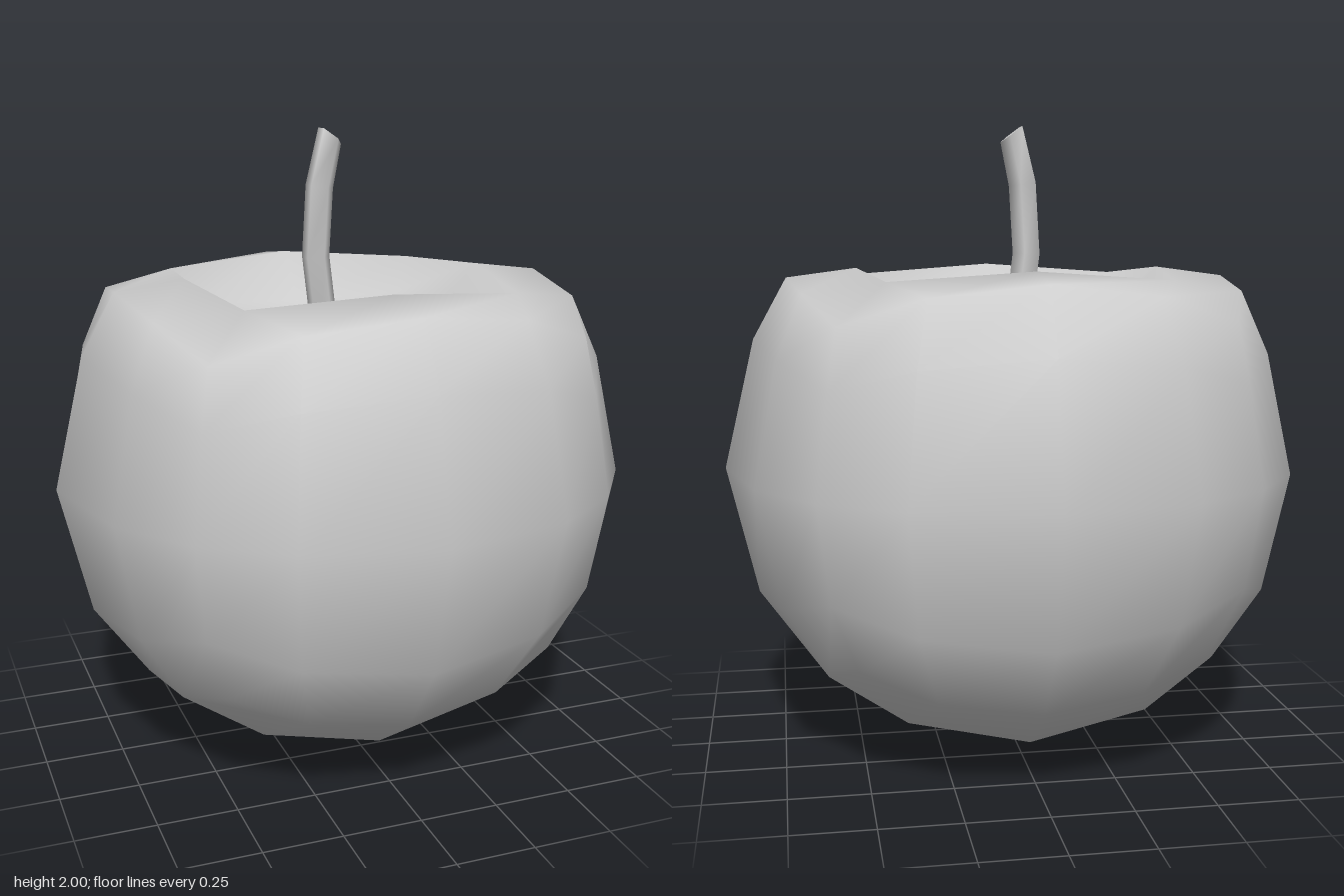
import * as THREE from 'three';
import { mergeVertices } from 'three/addons/utils/BufferGeometryUtils.js';

const R = 0.92;
const grey = () => new THREE.MeshStandardMaterial({ color: 0xcccccc });

// Maps a cube grid point to the fruit: a ball with a widened, flattened top
function shape(p) {
  const top = p.y > 0.99;
  const inner = Math.max(Math.abs(p.x), Math.abs(p.z)) < 0.6;
  const corner = Math.abs(p.x) > 0.4 && Math.abs(p.z) > 0.4;
  p.normalize().multiplyScalar(R);
  p.y += R;
  if (top && inner) {
    const s = corner ? 1.15 : 1.2;
    p.set(p.x * s, corner ? 1.525 : 1.555, p.z * s);
  } else if (top) {
    p.set(p.x * 1.1, p.y - 0.045, p.z * 1.1);
  }
  return p;
}

function fruitGeometry() {
  let box = new THREE.BoxGeometry(2, 2, 2, 4, 4, 4);
  box.deleteAttribute('normal');
  box.deleteAttribute('uv');
  box = mergeVertices(box);
  const pos = box.attributes.position;
  const points = [];
  for (let i = 0; i < pos.count; i++) points.push(new THREE.Vector3().fromBufferAttribute(pos, i));

  // Leave out the middle of the top, where the hollow goes
  const inHollow = (p) => p.y > 0.99 && Math.abs(p.x) < 0.6 && Math.abs(p.z) < 0.6;
  const index = [];
  for (let i = 0; i < box.index.count; i += 3) {
    const tri = [0, 1, 2].map((k) => box.index.getX(i + k));
    if (!tri.every((k) => inHollow(points[k]))) index.push(...tri);
  }

  // Hollow: square rim, steep wall, shallow floor to the centre
  const rim = [], wall = [];
  for (let i = 0; i < 8; i++) {
    const x = Math.round(Math.sin(i * Math.PI / 4) * 1.2);
    const z = Math.round(Math.cos(i * Math.PI / 4) * 1.2);
    rim.push(points.findIndex((p) => p.distanceTo(new THREE.Vector3(x / 2, 1, z / 2)) < 0.01));
    wall.push(new THREE.Vector3(x * 0.37, x && z ? 1.41 : 1.4, z * 0.37));
  }
  points.forEach(shape);
  const first = points.length;
  points.push(...wall, new THREE.Vector3(0, 1.28, 0));
  for (let i = 0; i < 8; i++) {
    const j = (i + 1) % 8;
    index.push(rim[i], rim[j], first + j, rim[i], first + j, first + i);
    index.push(first + i, first + j, first + 8);
  }

  const used = new THREE.BufferGeometry().setFromPoints(points);
  used.setIndex(index);
  used.computeVertexNormals();
  return used;
}

// Five-sided stalk: each row of a cylinder is moved and tilted along the bend
function stemGeometry() {
  const rows = [
    { x: -0.015, y: 1.27, tilt: -0.14 },
    { x: -0.055, y: 1.6, tilt: -0.03 },
    { x: -0.042, y: 1.82, tilt: 0.15 },
    { x: -0.006, y: 1.978, tilt: 0.65 },
  ];
  const geo = new THREE.CylinderGeometry(0.046, 0.046, 3, 5, 3);
  geo.rotateY(Math.PI / 2);
  const pos = geo.attributes.position, nor = geo.attributes.normal;
  const axis = new THREE.Vector3(0, 0, 1), v = new THREE.Vector3();
  for (let i = 0; i < pos.count; i++) {
    const row = rows[Math.round(pos.getY(i) + 1.5)];
    v.set(pos.getX(i), 0, pos.getZ(i)).applyAxisAngle(axis, -row.tilt);
    pos.setXYZ(i, v.x + row.x, v.y + row.y, v.z - 0.025);
    v.fromBufferAttribute(nor, i).applyAxisAngle(axis, -row.tilt);
    nor.setXYZ(i, v.x, v.y, v.z);
  }
  return geo;
}

export function createModel() {
  const model = new THREE.Group();
  model.name = 'apple';
  const fruit = new THREE.Mesh(fruitGeometry(), grey());
  fruit.name = 'fruit';
  const stem = new THREE.Mesh(stemGeometry(), grey());
  stem.name = 'stem';
  model.add(fruit, stem);
  return model;
}
